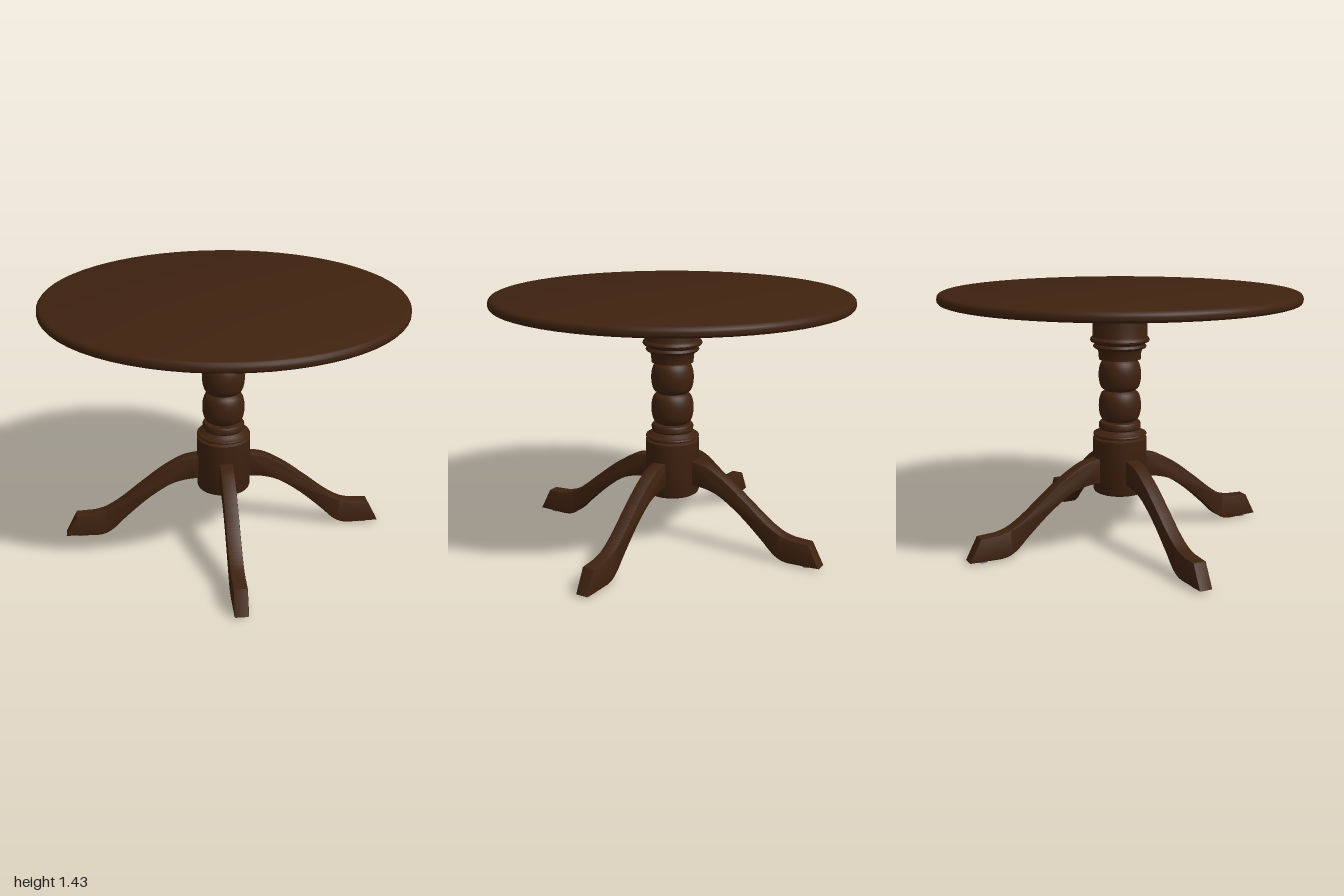
import * as THREE from 'three';
import { toCreasedNormals } from 'three/addons/utils/BufferGeometryUtils.js';

const wood = new THREE.MeshStandardMaterial({ name: 'dark wood', color: 0x3f220f });
const metal = new THREE.MeshStandardMaterial({ name: 'grey metal', color: 0x7a7a7a });

function part(name, geometry, material, x = 0, y = 0, z = 0) {
  const mesh = new THREE.Mesh(geometry, material);
  mesh.name = name;
  mesh.position.set(x, y, z);
  return mesh;
}

// Turned solid from [radius, height] pairs, listed bottom to top
function turned(name, profile, segments = 48) {
  const points = profile.map(([r, y]) => new THREE.Vector2(r, y));
  return part(name, toCreasedNormals(new THREE.LatheGeometry(points, segments), 0.6), wood);
}

// Rounded bulge between two heights
function bulge(y0, y1, neck, belly, steps = 14) {
  return Array.from({ length: steps + 1 }, (_, i) => {
    const t = (i / steps) * 2 - 1;
    return [neck + (belly - neck) * Math.sqrt(1 - t * t), y0 + (y1 - y0) * (i / steps)];
  });
}

// Curved leg side profile, extruded across its width
function legGeometry() {
  const v = (x, y) => new THREE.Vector2(x, y);
  const shape = new THREE.Shape();
  shape.moveTo(0.12, 0.36);
  shape.lineTo(0.12, 0.492);
  shape.splineThru([v(0.16, 0.49), v(0.24, 0.472), v(0.35, 0.41), v(0.475, 0.315), v(0.6, 0.215),
    v(0.69, 0.16), v(0.76, 0.14)]);
  shape.lineTo(0.86, 0.135);
  shape.lineTo(0.922, 0.018);
  shape.lineTo(0.75, 0.014);
  shape.splineThru([v(0.7, 0.024), v(0.65, 0.056), v(0.585, 0.12), v(0.455, 0.235), v(0.33, 0.32),
    v(0.24, 0.352), v(0.16, 0.362)]);
  shape.closePath();
  const width = 0.076, bevel = 0.006;
  const geometry = new THREE.ExtrudeGeometry(shape, {
    depth: width - 2 * bevel, curveSegments: 28,
    bevelEnabled: true, bevelSize: bevel, bevelThickness: bevel, bevelSegments: 2,
  });
  geometry.translate(0, 0, -width / 2 + bevel);
  return toCreasedNormals(geometry, 0.6);
}

export function createModel() {
  const table = new THREE.Group();
  table.name = 'pedestalTable';

  // Round top with a softened rim
  table.add(turned('tableTop', [
    [0, 1.38], [0.98, 1.38], [0.992, 1.384], [0.999, 1.393], [1, 1.408],
    [0.998, 1.42], [0.99, 1.43], [0.978, 1.435], [0, 1.435],
  ], 64));

  const base = new THREE.Group();
  base.name = 'base';
  base.position.x = -0.003;
  table.add(base);

  base.add(turned('mountingPlate', [[0, 1.347], [0.31, 1.347], [0.31, 1.374], [0, 1.374]]));
  base.add(turned('plateSpacer', [[0.12, 1.37], [0.29, 1.37], [0.29, 1.382], [0.12, 1.382]]));

  // Turned column
  base.add(turned('column', [
    [0, 0.288], [0.138, 0.288], [0.148, 0.294], [0.153, 0.306], [0.153, 0.604],
    [0.138, 0.612], [0.138, 0.62], [0.152, 0.626], [0.149, 0.633], [0.13, 0.64], [0.12, 0.652],
    [0.112, 0.656], [0.118, 0.664], [0.119, 0.688], [0.113, 0.698], [0.09, 0.7],
    ...bulge(0.702, 0.877, 0.085, 0.12),
    ...bulge(0.879, 1.054, 0.085, 0.12),
    [0.118, 1.056], [0.12, 1.095], [0.127, 1.112], [0.144, 1.12], [0.15, 1.128], [0.146, 1.137],
    [0.14, 1.142], [0.147, 1.15], [0.163, 1.156], [0.167, 1.166], [0.163, 1.176], [0.155, 1.182],
    [0.153, 1.19], [0.153, 1.35], [0, 1.35],
  ]));

  const leg = legGeometry();
  const glide = new THREE.CylinderGeometry(0.024, 0.024, 0.014, 20);
  const clip = new THREE.BoxGeometry(0.045, 0.008, 0.022);
  const screw = new THREE.CylinderGeometry(0.014, 0.01, 0.016, 12);
  for (let i = 0; i < 4; i++) {
    // Leg with a metal glide under its foot
    const legGroup = new THREE.Group();
    legGroup.name = 'leg' + (i + 1);
    legGroup.rotation.y = -0.908 + (i * Math.PI) / 2;
    legGroup.add(part('legBody', leg, wood), part('footGlide', glide, metal, 0.845, 0.007, 0));
    base.add(legGroup);

    // Fixing under the mounting plate
    const fixing = new THREE.Group();
    fixing.name = 'plateFixing' + (i + 1);
    fixing.rotation.y = 0.43 + (i * Math.PI) / 2;
    fixing.add(part('clip', clip, metal, 0.22, 1.344, 0), part('screw', screw, metal, 0.225, 1.34, 0));
    base.add(fixing);
  }
  return table;
}
